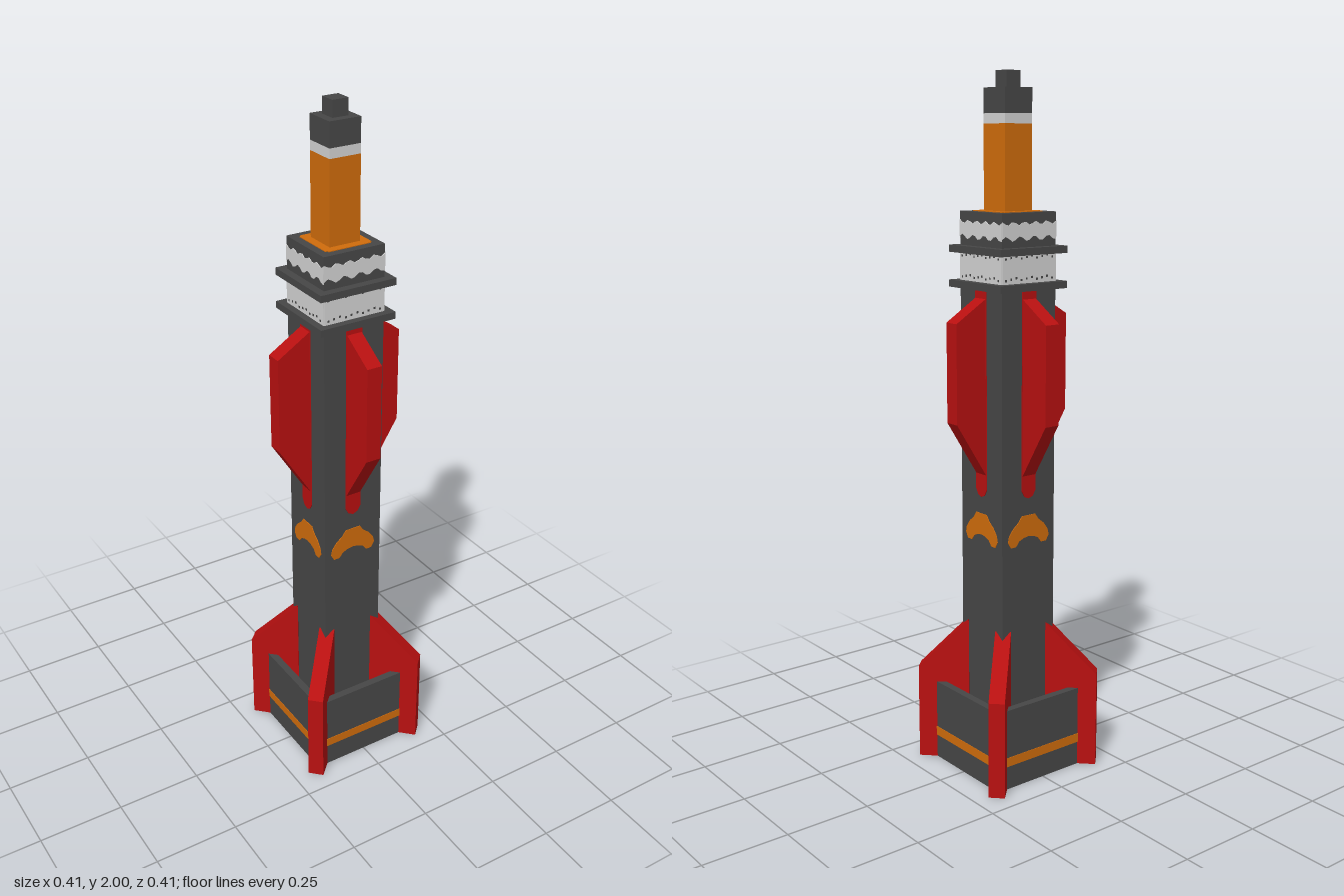
import * as THREE from 'three';

const mat = (name, color) => {
  const m = new THREE.MeshStandardMaterial({ color });
  m.name = name;
  return m;
};

export function createModel() {
  const rocket = new THREE.Group();
  rocket.name = 'rocket';
  const dark = mat('charcoal', 0x474747);
  const red = mat('red', 0xb81010);
  const orange = mat('orange', 0xd06c0c);
  const light = mat('lightGrey', 0xd4d4d4);

  const B = 0.094; // half width of the body
  const add = (name, geo, material, parent = rocket) => {
    const m = new THREE.Mesh(geo, material);
    m.name = name;
    parent.add(m);
    return m;
  };
  // Square block from y0 to y1 with the given half width
  const block = (name, half, y0, y1, material) => {
    const g = new THREE.BoxGeometry(half * 2, y1 - y0, half * 2);
    return add(name, g.translate(0, (y0 + y1) / 2, 0), material);
  };
  const slab = (points, depth) => new THREE.ExtrudeGeometry(
    new THREE.Shape(points.map(([x, y]) => new THREE.Vector2(x, y))),
    { depth, bevelEnabled: false });

  // Stacked core
  block('body', B, 0.02, 1.625, dark);
  block('lowerFlange', 0.117, 1.415, 1.435, dark);
  block('upperFlange', 0.117, 1.512, 1.532, dark);
  block('noseShaft', 0.047, 1.625, 1.86, orange);
  block('noseBand', 0.047, 1.86, 1.887, light);
  block('noseCap', 0.047, 1.887, 1.955, dark);
  block('noseTip', 0.024, 1.955, 2, dark);

  // Painted ring around the shaft foot, with notched corners
  const r = 0.071, n = 0.065;
  const ring = slab([[-n, -r], [n, -r], [n, -n], [r, -n], [r, n], [n, n],
    [n, r], [-n, r], [-n, n], [-r, n], [-r, -n], [-n, -n]], 0.002);
  add('shaftFootRing', ring.rotateX(-Math.PI / 2).translate(0, 1.625, 0), orange);

  // Fin profiles as radius and height
  const upperFin = slab([[0.08, 0.87], [0.094, 0.89], [0.195, 1.05],
    [0.195, 1.33], [0.094, 1.392], [0.08, 1.392]], 0.046).translate(0, 0, -0.023);
  const lowerFin = slab([[0.113, 0], [0.2645, 0], [0.2645, 0.285],
    [0.113, 0.44]], 0.046).translate(0, 0, -0.023);

  // Painted shapes shared by the four sides
  const rootStrip = slab([[-0.025, 1.415], [-0.025, 0.85], [-0.015, 0.832],
    [0, 0.826], [0.015, 0.832], [0.025, 0.85], [0.025, 1.415]], 0.002);
  const half = [[0.024, 0.777], [0.036, 0.76], [0.055, 0.745], [0.07, 0.725],
    [0.074, 0.707], [0.064, 0.69], [0.046, 0.69], [0.034, 0.705], [0.018, 0.712]];
  const chevron = slab([...half, [0, 0.703 + 0.012],
    ...half.map(([x, y]) => [-x, y]).reverse()], 0.002);
  const wave = [];
  const steps = 16;
  const wx = i => -B + (2 * B * i) / steps;
  for (let i = 0; i <= steps; i++) wave.push([wx(i), 1.556 + 0.007 * Math.sin(i * 1.5)]);
  for (let i = steps; i >= 0; i--) wave.push([wx(i), 1.597 + 0.005 * Math.cos(i * 1.9)]);
  const waveBand = slab(wave, 0.002);

  for (let k = 0; k < 4; k++) {
    const side = new THREE.Group();
    side.name = 'side' + (k + 1);
    side.rotation.y = (k * Math.PI) / 2;
    rocket.add(side);

    add('upperFin', upperFin, red, side).rotation.y = -Math.PI / 2;
    add('lowerFin', lowerFin, red, side).rotation.y = -Math.PI / 4;

    // Skirt panel held between the lower fins
    add('skirtPanel', new THREE.BoxGeometry(0.286, 0.24, 0.022), dark, side)
      .position.set(0, 0.12, 0.154);
    add('skirtStripe', new THREE.BoxGeometry(0.28, 0.027, 0.002), orange, side)
      .position.set(0, 0.083, 0.1655);

    add('finRootStrip', rootStrip, red, side).position.z = B;
    add('chevron', chevron, orange, side).position.z = B;
    add('upperBand', waveBand, light, side).position.z = B;
    add('lowerBand', new THREE.BoxGeometry(2 * B, 0.077, 0.002), light, side)
      .position.set(0, 1.4735, B + 0.001);

    // Small dark specks along both edges of the lower band
    for (let i = 0; i < 10; i++) {
      for (const y of [1.445, 1.503]) {
        add('speck', new THREE.BoxGeometry(0.006, 0.006, 0.001), dark, side)
          .position.set(-0.082 + i * 0.018, y + (i % 3) * 0.003, B + 0.002);
      }
    }
  }
  return rocket;
}
